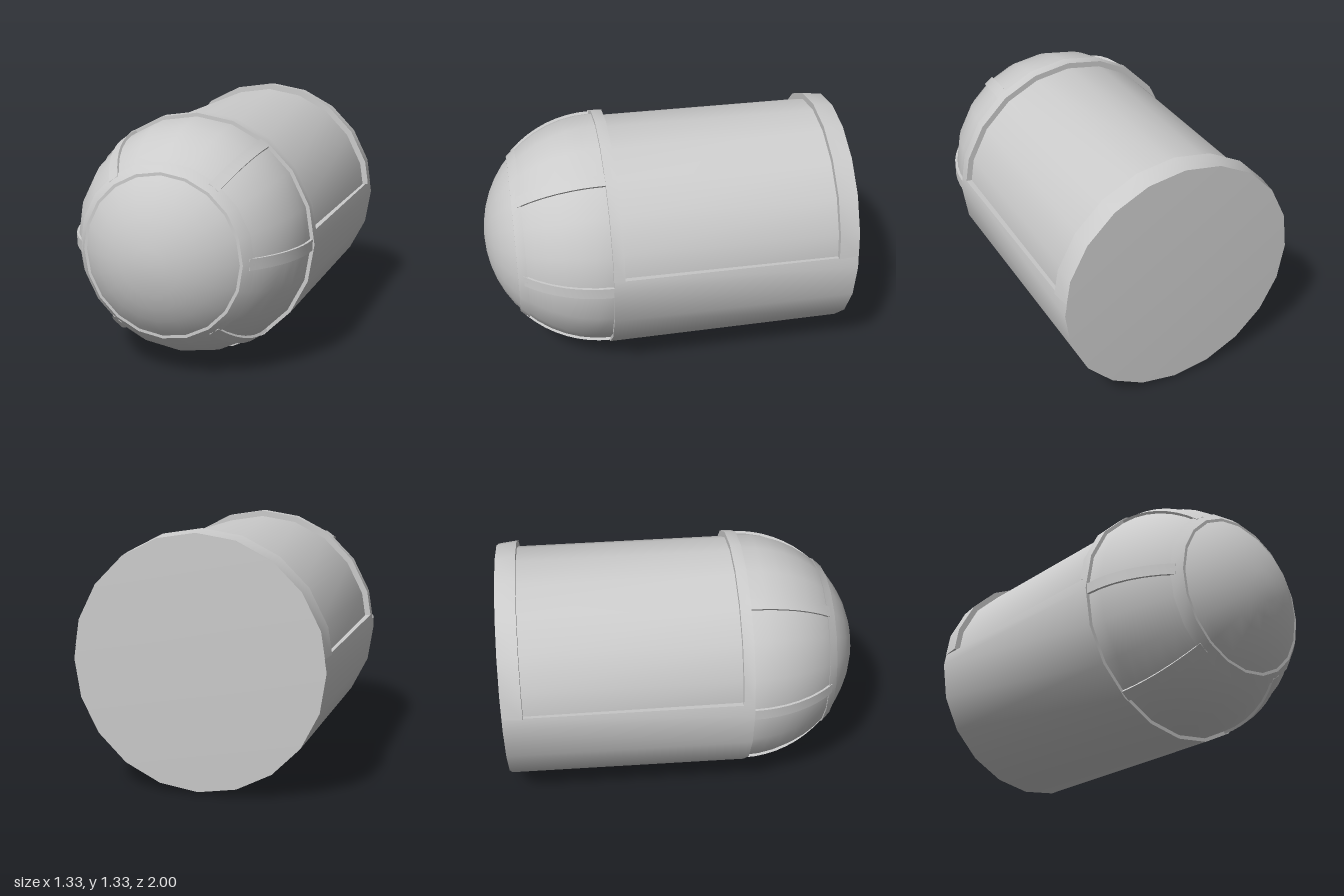
import * as THREE from 'three';
import { toCreasedNormals, mergeVertices } from 'three/addons/utils/BufferGeometryUtils.js';

const SIDES = 20, STEP = (Math.PI * 2) / SIDES;
const CENTRE_Y = 0.67, DOME_Z = 0.35, DOME_LEN = 0.65;

// Full revolve around the z axis; profile is [radius, z], running towards +z on the outside
function revolve(profile) {
  const g = new THREE.LatheGeometry(profile.map(p => new THREE.Vector2(...p)), SIDES);
  g.rotateX(Math.PI / 2);
  return toCreasedNormals(g, 0.5);
}

// Partial revolve of a closed convex [radius, z] profile, cut along the facets and capped
function arcBand(profile, a0, a1) {
  const angles = [a0];
  for (let k = Math.ceil(a0 / STEP); k * STEP < a1; k++) angles.push(k * STEP);
  angles.push(a1);
  const n = profile.length, pos = [], idx = [];
  for (const a of angles) {
    const off = a - Math.floor(a / STEP + 1e-6) * STEP - STEP / 2;
    const chord = Math.cos(STEP / 2) / Math.cos(off);
    for (const [r, z] of profile) pos.push(r * chord * Math.cos(a), r * chord * Math.sin(a), z);
  }
  for (let i = 0; i < angles.length - 1; i++) {
    for (let j = 0; j < n; j++) {
      const a = i * n + j, b = i * n + (j + 1) % n;
      idx.push(a, a + n, b + n, a, b + n, b);
    }
  }
  const last = (angles.length - 1) * n;
  for (let j = 1; j < n - 1; j++) {
    idx.push(0, j, j + 1, last, last + j + 1, last + j);
  }
  const g = new THREE.BufferGeometry();
  g.setAttribute('position', new THREE.Float32BufferAttribute(pos, 3));
  g.setIndex(idx);
  return toCreasedNormals(mergeVertices(g), 0.5);
}

// Curved dome rib with a flat rectangular section
function ribGeometry() {
  const shape = new THREE.Shape(), n = 8, end = Math.asin(0.455 / DOME_LEN);
  shape.moveTo(0.58, 0);
  for (let i = 0; i <= n; i++) {
    const t = (end * i) / n;
    shape.lineTo(0.655 * Math.cos(t), 0.655 * Math.sin(t));
  }
  for (let i = n; i > 0; i--) {
    const t = (end * i) / n;
    shape.lineTo(0.6 * Math.cos(t), 0.655 * Math.sin(t));
  }
  const g = new THREE.ExtrudeGeometry(shape, { depth: 0.06, bevelEnabled: false });
  g.translate(0, 0, -0.03);
  g.rotateX(Math.PI / 2);
  g.translate(0, 0, DOME_Z);
  return toCreasedNormals(g, 0.5);
}

export function createModel() {
  const model = new THREE.Group();
  model.name = 'domedCanopy';
  const body = new THREE.Group();
  body.name = 'body';
  body.position.y = CENTRE_Y;
  model.add(body);
  const material = new THREE.MeshStandardMaterial({ color: 0xcccccc });
  const add = (name, geometry) => {
    const mesh = new THREE.Mesh(geometry, material);
    mesh.name = name;
    body.add(mesh);
    return mesh;
  };

  // Glass dome at the front
  const dome = [];
  for (let i = 0; i <= 12; i++) {
    const t = (i / 12) * Math.PI / 2;
    dome.push([i === 12 ? 0 : 0.645 * Math.cos(t), DOME_Z + DOME_LEN * Math.sin(t)]);
  }
  add('domeGlass', revolve(dome));

  // Ring around the nose pane
  add('noseRing', revolve([[0.4, 0.79], [0.485, 0.79], [0.44, 0.838], [0.4, 0.838], [0.4, 0.79]]));

  // Six ribs between the nose ring and the front frame
  const rib = ribGeometry();
  [0, 54, 126, 180, 234, 306].forEach((deg, i) => {
    add('domeRib' + (i + 1), rib).rotation.z = THREE.MathUtils.degToRad(deg);
  });

  // Recessed roof pane
  add('roofGlass', revolve([[0.633, -0.97], [0.633, 0.34]]));

  // Lower shell, ending in a sill on each side
  const cut = Math.asin(0.07 / 0.66);
  add('lowerShell', arcBand(
    [[0.6, -0.98], [0.652, -0.98], [0.665, DOME_Z], [0.6, DOME_Z]], -Math.PI - cut, cut));

  // Raised frames over the roof, front and back
  add('frontFrame', arcBand(
    [[0.6, 0.29], [0.665, 0.29], [0.665, DOME_Z], [0.6, DOME_Z]], cut, Math.PI - cut));
  add('backFrame', arcBand(
    [[0.6, -0.98], [0.654, -0.98], [0.667, -0.87], [0.6, -0.87]], cut, Math.PI - cut));

  // Shallow rear wall
  add('rearWall', revolve([[0, -1], [0.652, -0.981]]));

  return model;
}
